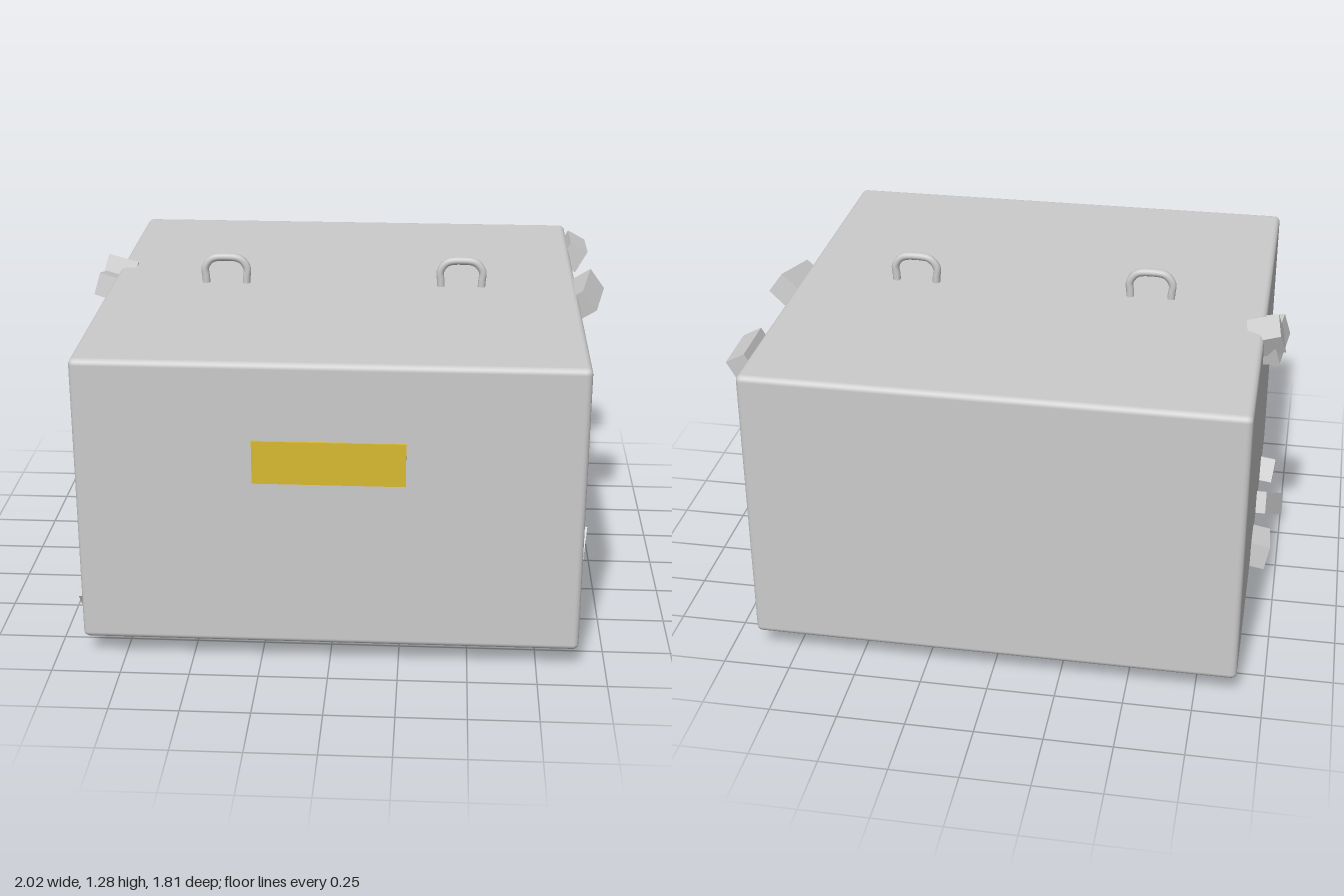
import * as THREE from 'three';
import { RoundedBoxGeometry } from 'three/addons/geometries/RoundedBoxGeometry.js';

export function createModel() {
  const model = new THREE.Group();
  const grey = new THREE.MeshStandardMaterial({ color: 0xcccccc });
  const stone = new THREE.MeshStandardMaterial({ color: 0xcccccc, flatShading: true });
  const yellow = new THREE.MeshStandardMaterial({ color: 0xd9b92f });

  const add = (name, geometry, material, x, y, z) => {
    const mesh = new THREE.Mesh(geometry, material);
    mesh.name = name;
    mesh.position.set(x, y, z);
    model.add(mesh);
    return mesh;
  };

  // Main block with softened edges
  add('body', new RoundedBoxGeometry(1.8, 1.08, 1.8, 3, 0.022), grey, 0, 0.625, -0.005);

  // Front plate
  add('frontPlate', new THREE.BoxGeometry(0.54, 0.16, 0.02), yellow, 0, 0.8, 0.893);

  // Two lifting handles on top
  const path = new THREE.CatmullRomCurve3([
    [-0.077, -0.02], [-0.079, 0.02], [-0.081, 0.06], [-0.055, 0.094], [0, 0.102],
    [0.055, 0.094], [0.081, 0.06], [0.079, 0.02], [0.077, -0.02],
  ].map(([x, y]) => new THREE.Vector3(x, y, 0)));
  const handle = new THREE.TubeGeometry(path, 40, 0.015, 10);
  for (const side of [1, -1]) {
    add(side > 0 ? 'leftHandle' : 'rightHandle', handle, grey, side * 0.455, 1.165, -0.008);
  }

  // Loose chunks along the side edges: position, size, pitch / yaw / roll
  const chunks = [
    ['upperLeftChunk', [0.92, 1.12, -0.655], [0.08, 0.1, 0.205], [-0.03, 0, -0.5]],
    ['upperLeftChunk', [0.93, 1.13, -0.035], [0.095, 0.09, 0.21], [0.12, -0.2, -0.95]],
    ['lowerLeftChunk', [0.915, 0.12, 0.197], [0.09, 0.09, 0.23], [0.74, -0.18, -0.15]],
    ['lowerLeftChunk', [0.9, 0.122, -0.122], [0.09, 0.085, 0.095], [0.55, -0.15, -0.1]],
    ['upperRightChunk', [-0.905, 1.14, -0.22], [0.12, 0.09, 0.11], [-0.4, 0.15, -0.3]],
    ['upperRightChunk', [-0.925, 1.1, -0.16], [0.08, 0.09, 0.19], [-0.2, -0.15, -0.25]],
    ['lowerRightChunk', [-0.925, 0.115, -0.045], [0.075, 0.1, 0.165], [0.08, 0.05, 0.2]],
    ['lowerRightChunk', [-0.94, 0.115, 0.3], [0.07, 0.09, 0.19], [0.5, -0.4, -0.2]],
    ['lowerRightChunk', [-0.92, 0.12, 0.57], [0.075, 0.1, 0.14], [0.5, 0, 0.12]],
  ];
  for (const [name, position, size, [pitch, yaw, roll]] of chunks) {
    const chunk = add(name, new THREE.BoxGeometry(...size), stone, ...position);
    chunk.rotation.set(pitch, yaw, roll, 'YXZ');
  }

  return model;
}
